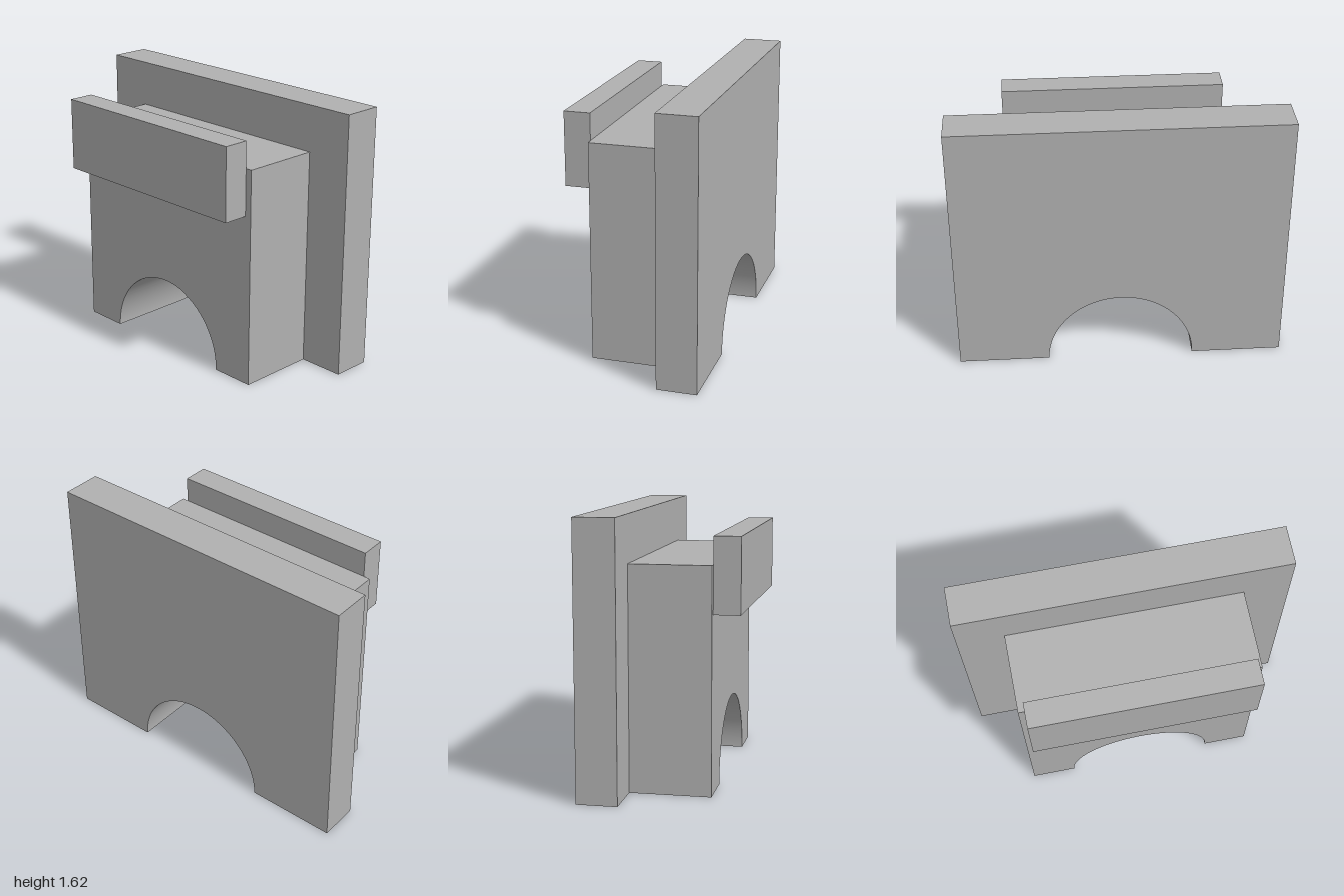
import * as THREE from 'three';
import { toCreasedNormals } from 'three/addons/utils/BufferGeometryUtils.js';

const ARCH_RADIUS = 0.447;

// Upright block with a half-round notch in its foot, running from x0 to x1
function archedBlock(x0, x1, halfWidth, height) {
  const shape = new THREE.Shape();
  shape.moveTo(ARCH_RADIUS, 0);
  shape.lineTo(halfWidth, 0);
  shape.lineTo(halfWidth, height);
  shape.lineTo(-halfWidth, height);
  shape.lineTo(-halfWidth, 0);
  shape.lineTo(-ARCH_RADIUS, 0);
  shape.absarc(0, 0, ARCH_RADIUS, Math.PI, 0, true);
  const geometry = new THREE.ExtrudeGeometry(shape, {
    depth: x1 - x0, bevelEnabled: false, curveSegments: 64,
  });
  geometry.rotateY(Math.PI / 2);
  geometry.translate(x0, 0, 0);
  return toCreasedNormals(geometry, 0.5);
}

export function createModel() {
  const group = new THREE.Group();
  group.name = 'archedBracket';
  const grey = new THREE.MeshStandardMaterial({ color: 0xb0b0b0 });
  grey.name = 'grey';

  function add(name, geometry) {
    const mesh = new THREE.Mesh(geometry, grey);
    mesh.name = name;
    group.add(mesh);
    return mesh;
  }

  // Wide plate and narrower body share the same arch
  add('facePlate', archedBlock(0.2, 0.442, 1, 1.617));
  add('body', archedBlock(-0.284, 0.2, 0.718, 1.336));

  // Bar along the upper edge of the body, standing proud of its top
  add('topBar', new THREE.BoxGeometry(0.158, 0.446, 1.354))
    .position.set(-0.363, 1.275, 0);

  return group;
}
